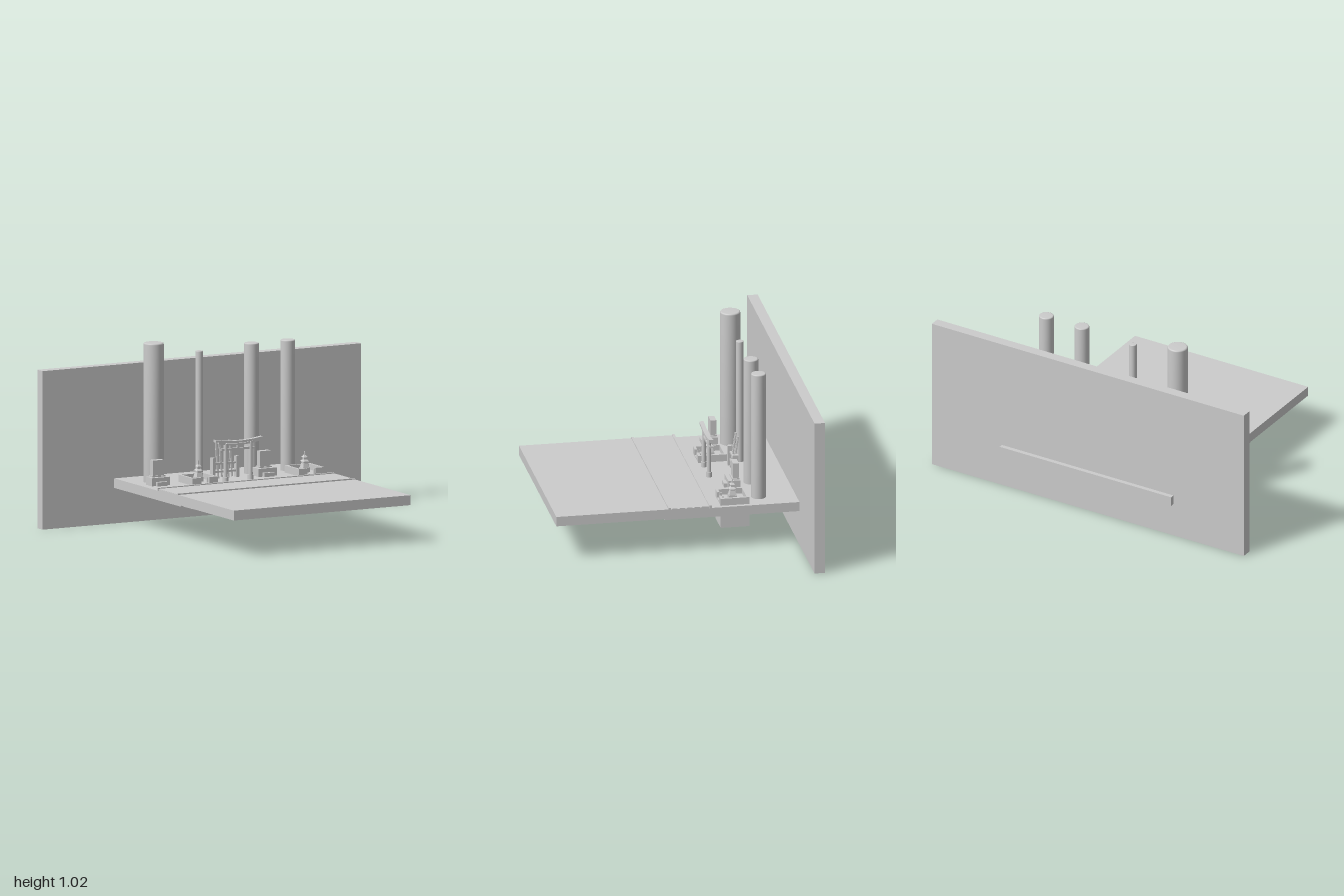
import * as THREE from 'three';

const material = new THREE.MeshStandardMaterial({ color: 0xcccccc });

function add(parent, name, geometry, x = 0, y = 0, z = 0) {
  const mesh = new THREE.Mesh(geometry, material);
  mesh.name = name;
  mesh.position.set(x, y, z);
  parent.add(mesh);
  return mesh;
}

// Box given by its limits on each axis
function box(parent, name, x0, x1, y0, y1, z0, z1) {
  return add(parent, name, new THREE.BoxGeometry(x1 - x0, y1 - y0, z1 - z0),
    (x0 + x1) / 2, (y0 + y1) / 2, (z0 + z1) / 2);
}

function group(parent, name, x, y, z) {
  const g = new THREE.Group();
  g.name = name;
  g.position.set(x, y, z);
  parent.add(g);
  return g;
}

// Tall round column with a softened top edge
function column(parent, x, r, top) {
  const b = r * 0.15;
  const profile = [[0, 0.2], [r, 0.2], [r, top - b], [r - b * 0.3, top - b * 0.3], [r - b, top], [0, top]]
    .map(([px, py]) => new THREE.Vector2(px, py));
  add(parent, 'column', new THREE.LatheGeometry(profile, 40), x, 0, -0.432);
}

// Small square tiered tower
function tower(parent) {
  const tiers = [[0.022, 0.022, 0, 0.025], [0.02, 0.014, 0.025, 0.048], [0.012, 0.012, 0.048, 0.06],
    [0.019, 0.009, 0.06, 0.07], [0.009, 0.009, 0.07, 0.083], [0.014, 0.005, 0.083, 0.093], [0.004, 0.002, 0.093, 0.115]];
  for (const [r0, r1, y0, y1] of tiers) {
    const geometry = new THREE.CylinderGeometry(r1 * Math.SQRT2, r0 * Math.SQRT2, y1 - y0, 4, 1).toNonIndexed();
    geometry.rotateY(Math.PI / 4);
    geometry.computeVertexNormals();
    add(parent, 'towerTier', geometry, 0, (y0 + y1) / 2, 0);
  }
}

// Deep block with a walled court, a gap at the front and a tower in the middle
function court(parent, x) {
  const g = group(parent, 'court', x, 0, -0.282);
  const w = 0.08, t = 0.014;
  box(g, 'courtBlock', -w, w, 0.12, 0.258, -w, w);
  box(g, 'backWall', -w, w, 0.258, 0.29, -w, -w + t);
  for (const s of [-1, 1]) {
    box(g, 'sideWall', Math.min(s * w, s * (w - t)), Math.max(s * w, s * (w - t)), 0.258, 0.29, -w + t, w);
    box(g, 'frontWall', Math.min(s * 0.025, s * (w - t)), Math.max(s * 0.025, s * (w - t)), 0.258, 0.29, w - t, w);
    box(g, 'gapCheek', s * 0.025 - 0.003, s * 0.025 + 0.003, 0.258, 0.285, w - 0.026, w - t);
  }
  tower(group(g, 'tower', 0, 0.258, 0));
}

// Stepped pedestal with an upright stone
function monument(parent, x) {
  const g = group(parent, 'monument', x, 0, 0);
  box(g, 'base', -0.057, 0.057, 0.24, 0.295, -0.36, -0.292);
  box(g, 'frontStep', -0.032, 0.032, 0.24, 0.272, -0.292, -0.272);
  box(g, 'plinth', -0.04, 0.04, 0.295, 0.302, -0.358, -0.315);
  box(g, 'uprightStone', -0.034, 0.034, 0.3, 0.387, -0.355, -0.322);
  add(g, 'foundation', new THREE.CylinderGeometry(0.057, 0.057, 0.06, 32), 0, 0.215, -0.335);
}

// Gate of two posts, a tie beam and an upswept lintel
function gate(parent) {
  const g = group(parent, 'gate', 0, 0, -0.222);
  for (const x of [-0.082, 0.075]) {
    add(g, 'gatePost', new THREE.CylinderGeometry(0.011, 0.012, 0.215, 16), x, 0.3575, 0);
    add(g, 'postFoot', new THREE.CylinderGeometry(0.016, 0.016, 0.03, 16), x, 0.265, 0);
  }
  box(g, 'tieBeam', -0.11, 0.1, 0.425, 0.437, -0.006, 0.006);
  box(g, 'centreStrut', -0.01, 0.004, 0.437, 0.46, -0.005, 0.005);
  for (const [name, half, y, h, d] of [['lowerLintel', 0.125, 0.457, 0.01, 0.016], ['upperLintel', 0.147, 0.471, 0.012, 0.024]]) {
    const beam = new THREE.BoxGeometry(half * 2, h, d, 16, 1, 1);
    const p = beam.attributes.position;
    for (let i = 0; i < p.count; i++) p.setY(i, p.getY(i) + 0.013 * (p.getX(i) / half) ** 2);
    beam.computeVertexNormals();
    add(g, name, beam, -0.003, y, 0);
  }
}

// Low rack carrying leaning slats
function rack(parent) {
  const g = group(parent, 'slatRack', -0.005, 0, -0.37);
  for (const x of [-0.075, 0.075]) box(g, 'rackPost', x - 0.009, x + 0.009, 0.25, 0.365, -0.016, 0.016);
  for (const y of [0.285, 0.33]) box(g, 'rackRail', -0.075, 0.075, y - 0.005, y + 0.005, -0.006, 0.006);
  [-0.044, -0.022, 0.02, 0.042].forEach((x, i) => {
    const slat = add(g, 'slat', new THREE.BoxGeometry(0.01, 0.205, 0.007), x, 0.35 + (i % 2) * 0.006, -0.008);
    slat.rotation.x = -0.14;
  });
}

export function createModel() {
  const model = new THREE.Group();
  model.name = 'shrineTerrace';

  // Wall and ground slabs
  box(model, 'backdropWall', -1, 1, 0, 0.88, -0.695, -0.637);
  box(model, 'rearTerrace', -0.55, 0.55, 0.197, 0.25, -0.72, 0.117);
  box(model, 'frontTerrace', -0.555, 0.555, 0.205, 0.26, -0.115, 0.72);
  box(model, 'path', -0.553, 0.553, 0.22, 0.262, -0.147, 0.093);
  for (const z of [-0.14, 0.087]) box(model, 'kerb', -0.555, 0.555, 0.25, 0.267, z - 0.007, z + 0.007);

  // Columns behind the shrine
  for (const [x, r, top] of [[-0.417, 0.056, 1.023], [-0.13, 0.021, 0.955], [0.197, 0.041, 0.975], [0.425, 0.041, 0.975]]) {
    column(model, x, r, top);
  }

  // Furnishings on the terrace
  for (const x of [-0.22, 0.447]) court(model, x);
  for (const x of [-0.448, 0.222]) monument(model, x);
  gate(model);
  rack(model);
  return model;
}
